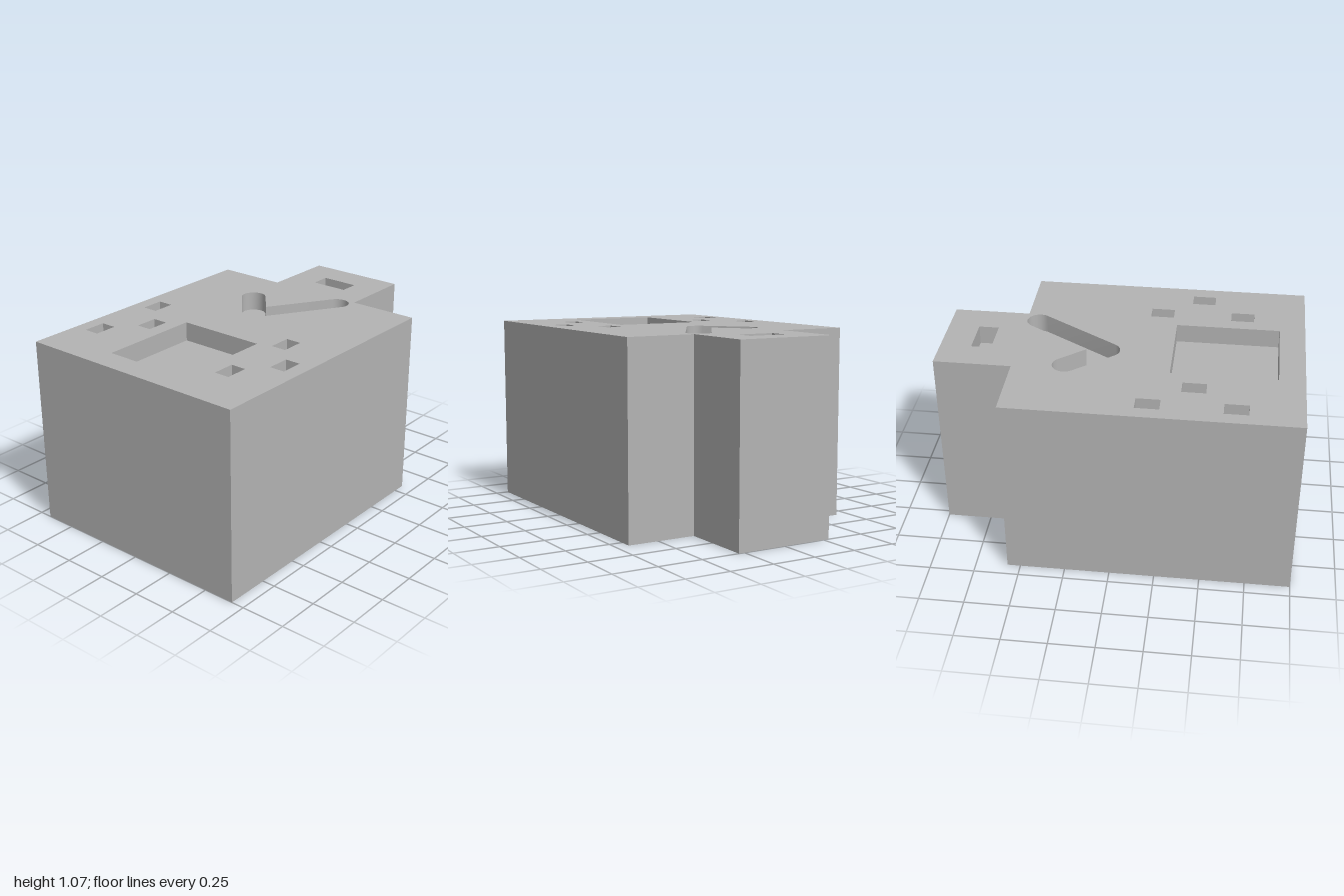
import * as THREE from 'three';
import { mergeGeometries, toCreasedNormals } from 'three/addons/utils/BufferGeometryUtils.js';

const HEIGHT = 1.07;
const FLOOR = HEIGHT - 0.107; // level of the recess floors

// Plan outlines are drawn as (x, -z), counter-clockwise, height along z.
const loop = (pts) => pts.map(([x, z]) => new THREE.Vector2(x, -z));
const rect = (x0, x1, z0, z1) => loop([[x0, z1], [x1, z1], [x1, z0], [x0, z0]]);

// Flat face at a given height, facing up or down
function cap(points, height, holes = [], down = false) {
  const shape = new THREE.Shape(points);
  shape.holes = holes.map((h) => new THREE.Path(h));
  const g = new THREE.ShapeGeometry(shape).toNonIndexed();
  if (down) g.rotateY(Math.PI).scale(1, 1, 1);
  g.deleteAttribute('uv');
  g.deleteAttribute('normal');
  return g.translate(0, 0, height);
}

// Upright wall around a loop; counter-clockwise faces out, clockwise faces in
function wall(points, low, high) {
  const v = [];
  points.forEach((a, i) => {
    const b = points[(i + 1) % points.length];
    v.push(a.x, a.y, low, b.x, b.y, low, b.x, b.y, high);
    v.push(a.x, a.y, low, b.x, b.y, high, a.x, a.y, high);
  });
  const g = new THREE.BufferGeometry();
  g.setAttribute('position', new THREE.Float32BufferAttribute(v, 3));
  return g;
}

// Bent slot of constant width with round ends and a round outer elbow
function bentSlot(start, elbow, end, r) {
  const [s, e, t] = loop([start, elbow, end]);
  const a1 = Math.atan2(e.y - s.y, e.x - s.x);
  const a2 = Math.atan2(t.y - e.y, t.x - e.x);
  const pts = [];
  const arc = (c, from, to, n) => {
    for (let i = 0; i <= n; i++) {
      const a = from + ((to - from) * i) / n;
      pts.push(new THREE.Vector2(c.x + r * Math.cos(a), c.y + r * Math.sin(a)));
    }
  };
  const q = Math.PI / 2;
  arc(s, a1 + q, a1 + 3 * q, 16);
  arc(e, a1 - q, a2 - q, 10);
  arc(t, a2 - q, a2 + q, 16);
  const mid = (a1 + a2) / 2 + q; // inner corner where the two arms meet
  const d = r / Math.cos((a2 - a1) / 2);
  pts.push(new THREE.Vector2(e.x + d * Math.cos(mid), e.y + d * Math.sin(mid)));
  return pts;
}

export function createModel() {
  const group = new THREE.Group();
  const grey = new THREE.MeshStandardMaterial({ color: 0xb3b3b3 });
  grey.name = 'grey';

  // Block with a narrower tab at the back
  const outline = loop([
    [-0.677, 1], [0.677, 1], [0.677, -0.573], [0.283, -0.573],
    [0.283, -1], [-0.283, -1], [-0.283, -0.573], [-0.677, -0.573],
  ]);

  // Recesses in the top face
  const recesses = [
    rect(-0.252, 0.252, 0.28, 0.858),
    rect(-0.107, 0.107, -0.828, -0.717),
    bentSlot([-0.235, -0.288], [-0.058, -0.077], [0.211, -0.502], 0.069),
  ];
  // Small slots in two staggered groups of three
  for (const x of [-0.599, 0.333]) {
    for (const z of [0.125, 0.582]) recesses.push(rect(x, x + 0.088, z, z + 0.13));
  }
  for (const x of [-0.425, 0.504]) recesses.push(rect(x, x + 0.088, 0.354, 0.484));

  const parts = [
    cap(outline, 0, [], true), // symmetric in x, so turning it over keeps its outline
    cap(outline, HEIGHT, recesses),
    wall(outline, 0, HEIGHT),
  ];
  for (const r of recesses) {
    parts.push(cap(r, FLOOR), wall([...r].reverse(), FLOOR, HEIGHT));
  }

  const geometry = toCreasedNormals(mergeGeometries(parts).rotateX(-Math.PI / 2), 0.5);
  const block = new THREE.Mesh(geometry, grey);
  block.name = 'recessedBlock';
  group.add(block);
  return group;
}
